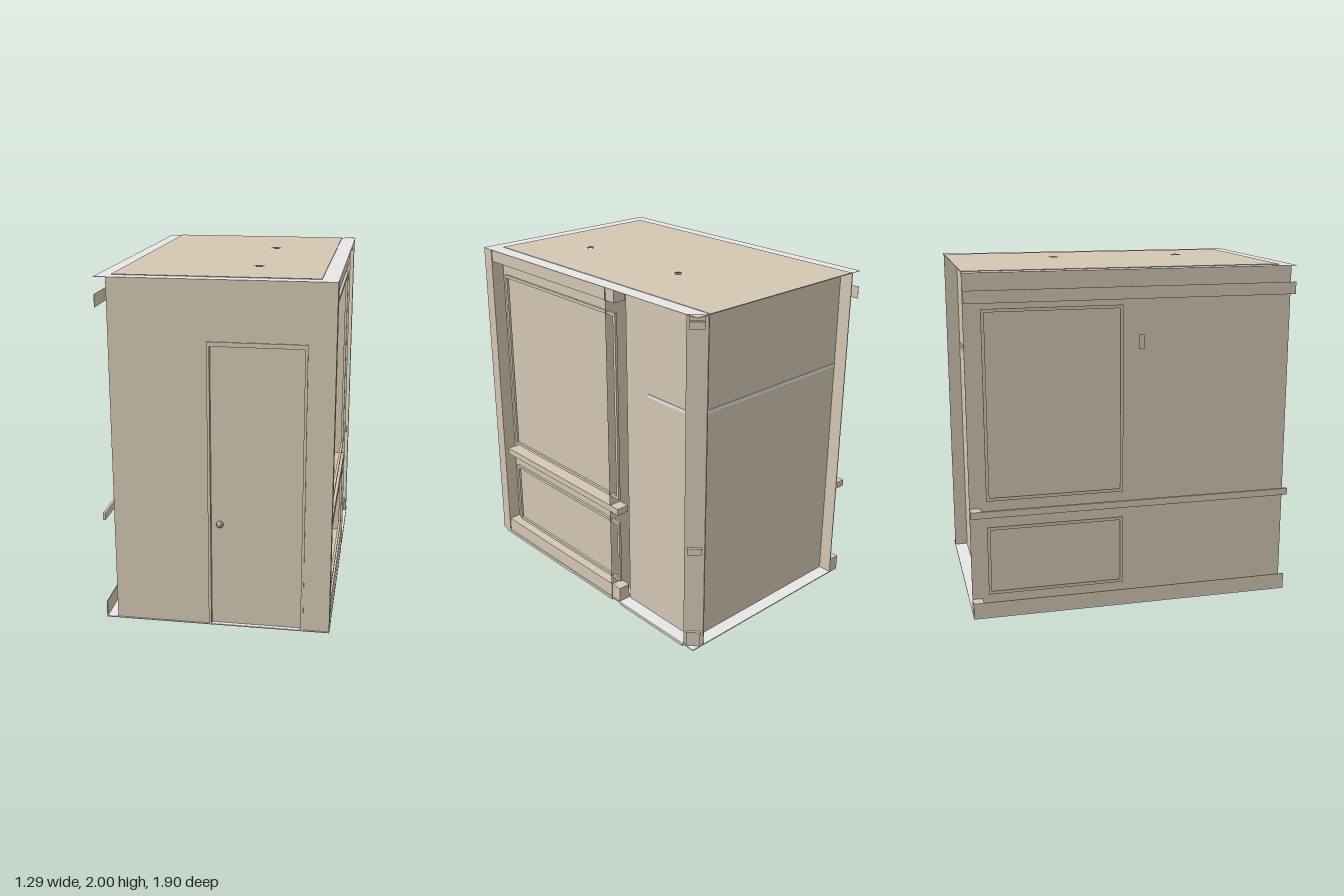
import * as THREE from 'three';

export function createModel() {
  const room = new THREE.Group();
  room.name = 'room';
  const mat = (name, color, side = THREE.DoubleSide) => {
    const m = new THREE.MeshStandardMaterial({ color, side });
    m.name = name;
    return m;
  };
  const tan = mat('tan wall paint', 0xd4c8b3);
  const innerTan = mat('tan inner wall paint', 0xd4c8b3, THREE.FrontSide);
  const grey = mat('pale grey', 0xe6e6e6);
  const metal = mat('knob metal', 0x9a9282);

  const add = (name, geo, m) => {
    const mesh = new THREE.Mesh(geo, m);
    mesh.name = name;
    room.add(mesh);
    return mesh;
  };
  // box given by its limits on each axis
  const box = (name, x0, x1, y0, y1, z0, z1, m = tan) => {
    const mesh = add(name, new THREE.BoxGeometry(x1 - x0, y1 - y0, z1 - z0), m);
    mesh.position.set((x0 + x1) / 2, (y0 + y1) / 2, (z0 + z1) / 2);
    return mesh;
  };
  // rectangular moulding lying on a side wall
  const sideFrame = (name, x0, x1, y0, y1, z0, z1, w = 0.018) => {
    box(name, x0, x1, y0, y0 + w, z0, z1);
    box(name, x0, x1, y1 - w, y1, z0, z1);
    box(name, x0, x1, y0 + w, y1 - w, z0, z0 + w);
    box(name, x0, x1, y0 + w, y1 - w, z1 - w, z1);
  };

  // floor and ceiling
  box('floorUnderside', -0.645, 0.64, 0.014, 0.017, -0.95, 0.95);
  box('floorTop', -0.645, 0.64, 0.017, 0.02, -0.95, 0.95, grey);
  box('sillFront', 0.57, 0.64, 0, 0.014, -0.23, 0.91);
  box('sillBack', 0.57, 0.64, 0, 0.014, -0.86, -0.31);
  box('ceiling', -0.645, 0.64, 1.992, 1.994, -0.95, 0.95, grey);
  box('ceilingPanel', -0.57, 0.55, 1.994, 1.997, -0.95, 0.87);
  const corner = new THREE.Shape([[0.56, 0.95], [0.64, 0.95], [0.64, 0.87]].map(p => new THREE.Vector2(...p)));
  const cornerCap = add('ceilingCorner', new THREE.ShapeGeometry(corner), tan);
  cornerCap.rotation.x = -Math.PI / 2;
  cornerCap.position.y = 1.997;

  // ceiling lamps
  for (const z of [-0.31, 0.48]) {
    const ring = add('lampRing', new THREE.RingGeometry(0.022, 0.034, 24), grey);
    ring.rotation.x = -Math.PI / 2;
    ring.position.set(0.172, 1.999, z);
    const rim = add('lampRim', new THREE.CylinderGeometry(0.022, 0.022, 0.005, 24, 1, true), metal);
    rim.position.set(0.172, 1.9985, z);
  }

  // front wall around the door recess
  box('frontWall', -0.58, -0.03, 0.02, 1.992, 0.87, 0.945);
  box('frontWall', 0.478, 0.64, 0.02, 1.992, 0.87, 0.945);
  box('frontWall', -0.03, 0.478, 1.64, 1.992, 0.87, 0.945);

  // side and back walls
  box('leftWall', -0.58, -0.575, 0.02, 1.992, -0.95, 0.87);
  box('backWall', -0.575, 0.56, 0.02, 1.992, -0.87, -0.865);
  box('rightWallFront', 0.555, 0.56, 0.02, 1.992, -0.23, 0.87);
  box('rightWallBack', 0.555, 0.56, 0.02, 1.992, -0.95, -0.31);

  // cavity of the cross wall, seen through the slot in the right wall
  for (const [z, turn] of [[-0.31, 0], [-0.23, Math.PI]]) {
    const face = add('crossWallFace', new THREE.PlaneGeometry(1.215, 1.972), innerTan);
    face.position.set(0.0325, 1.006, z);
    face.rotation.y = turn;
  }

  // grey border strip on the back and right walls
  box('backStripe', -0.575, 0.555, 1.41, 1.43, -0.873, -0.87, grey);
  box('rightStripe', 0.56, 0.563, 1.41, 1.43, -0.86, -0.49, grey);

  // slanted back corner with its mouldings
  const slant = (name, y0, y1, depth, width) => {
    const mesh = add(name, new THREE.BoxGeometry(width, y1 - y0, depth), tan);
    mesh.rotation.y = Math.PI * 0.75;
    mesh.position.set(0.598, (y0 + y1) / 2, -0.908);
  };
  slant('cornerColumn', 0.02, 1.992, 0.004, 0.112);
  for (const [y0, y1] of [[0.02, 0.11], [0.62, 0.66], [1.92, 1.96], [1.965, 1.99]]) {
    slant('cornerMoulding', y0, y1, 0.036, 0.08);
  }

  // right wall mouldings
  box('rightBaseboard', 0.56, 0.635, 0.02, 0.11, -0.3, 0.87);
  box('rightChairRail', 0.56, 0.638, 0.62, 0.66, -0.3, 0.83);
  box('rightCrown', 0.56, 0.635, 1.92, 1.992, -0.3, 0.87);
  sideFrame('rightUpperFrame', 0.615, 0.63, 0.72, 1.86, -0.3, 0.75);
  sideFrame('rightLowerFrame', 0.615, 0.63, 0.16, 0.565, -0.3, 0.75);

  // left wall mouldings
  box('leftBaseboard', -0.645, -0.64, 0.02, 0.11, -0.95, 0.95);
  box('leftBaseboardEnd', -0.64, -0.58, 0.02, 0.11, -0.95, -0.89);
  box('leftChairRail', -0.645, -0.63, 0.62, 0.66, -0.95, 0.95);
  box('leftChairRailEnd', -0.63, -0.58, 0.62, 0.66, -0.95, -0.89);
  box('leftCrown', -0.645, -0.643, 1.83, 1.9, -0.95, 0.95);
  sideFrame('leftUpperFrame', -0.645, -0.638, 0.72, 1.8, -0.86, -0.07);
  sideFrame('leftLowerFrame', -0.645, -0.638, 0.16, 0.565, -0.86, -0.07);
  box('wallSwitch', -0.645, -0.638, 1.55, 1.63, 0.02, 0.05);

  // door, casing and knob
  box('door', -0.03, 0.478, 0.02, 1.64, 0.915, 0.925);
  for (const [x0, x1] of [[-0.045, -0.03], [0.478, 0.493]]) {
    box('doorCasing', x0, x1, 0.02, 1.665, 0.945, 0.952);
  }
  box('doorCasing', -0.03, 0.478, 1.64, 1.665, 0.945, 0.952);
  const knob = add('doorKnob', new THREE.SphereGeometry(0.02, 16, 12), metal);
  knob.position.set(0.018, 0.625, 0.93);

  return room;
}
